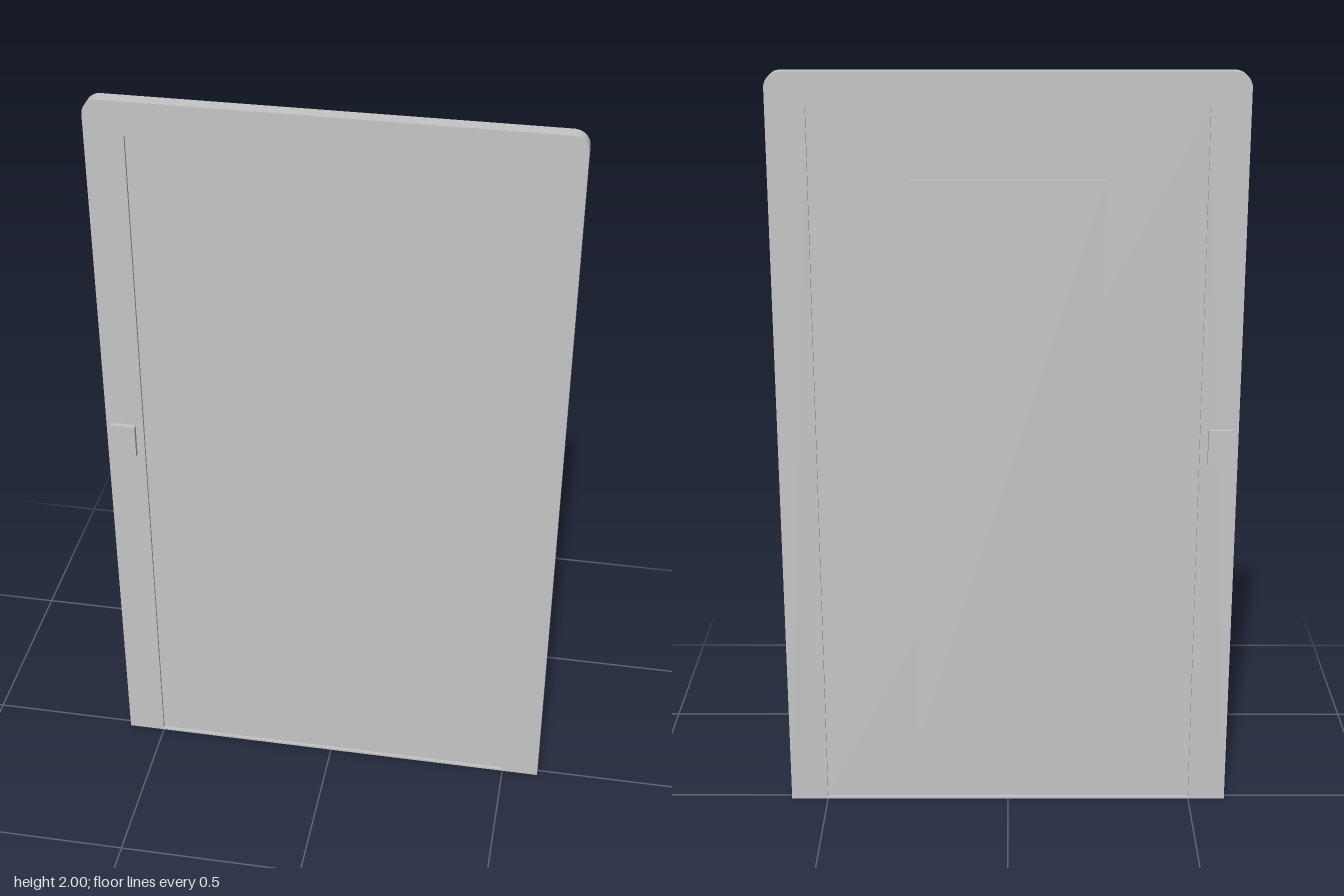
import * as THREE from 'three';
import { toCreasedNormals } from 'three/addons/utils/BufferGeometryUtils.js';

const grey = new THREE.MeshStandardMaterial({ color: 0xc6c6c6 });
grey.name = 'light grey metal';

// Box spanning the given limits
function slab(name, x0, x1, y0, y1, z0, z1) {
  const mesh = new THREE.Mesh(new THREE.BoxGeometry(x1 - x0, y1 - y0, z1 - z0), grey);
  mesh.position.set((x0 + x1) / 2, (y0 + y1) / 2, (z0 + z1) / 2);
  mesh.name = name;
  return mesh;
}

// Border with rounded top corners and a rectangular opening
function doorFrame() {
  const w = 0.6, h = 2, r = 0.04, depth = 0.038;
  const outline = new THREE.Shape();
  outline.moveTo(-w, 0);
  outline.lineTo(w, 0);
  outline.lineTo(w, h - r);
  outline.absarc(w - r, h - r, r, 0, Math.PI / 2);
  outline.lineTo(-w + r, h);
  outline.absarc(-w + r, h - r, r, Math.PI / 2, Math.PI);
  outline.closePath();

  const opening = new THREE.Path();
  opening.moveTo(-0.5, 0.006);
  opening.lineTo(-0.5, 1.91);
  opening.lineTo(0.5, 1.91);
  opening.lineTo(0.5, 0.006);
  opening.closePath();
  outline.holes.push(opening);

  const geometry = new THREE.ExtrudeGeometry(outline, { depth, bevelEnabled: false, curveSegments: 10 });
  geometry.translate(0, 0, -depth / 2);
  const mesh = new THREE.Mesh(toCreasedNormals(geometry, 0.6), grey);
  mesh.name = 'doorFrame';
  return mesh;
}

export function createModel() {
  const door = new THREE.Group();
  door.name = 'door';
  door.add(
    doorFrame(),
    // Panel set back on both faces
    slab('recessedPanel', -0.5, 0.5, 0.006, 1.91, -0.011, 0.011),
    // Thin raised plate on the rear face
    slab('rearPlate', -0.245, 0.245, 0.185, 1.73, -0.018, -0.01),
    // Latch block passing through the frame
    slab('latch', -0.587, -0.521, 0.987, 1.08, -0.032, 0.032)
  );
  return door;
}
